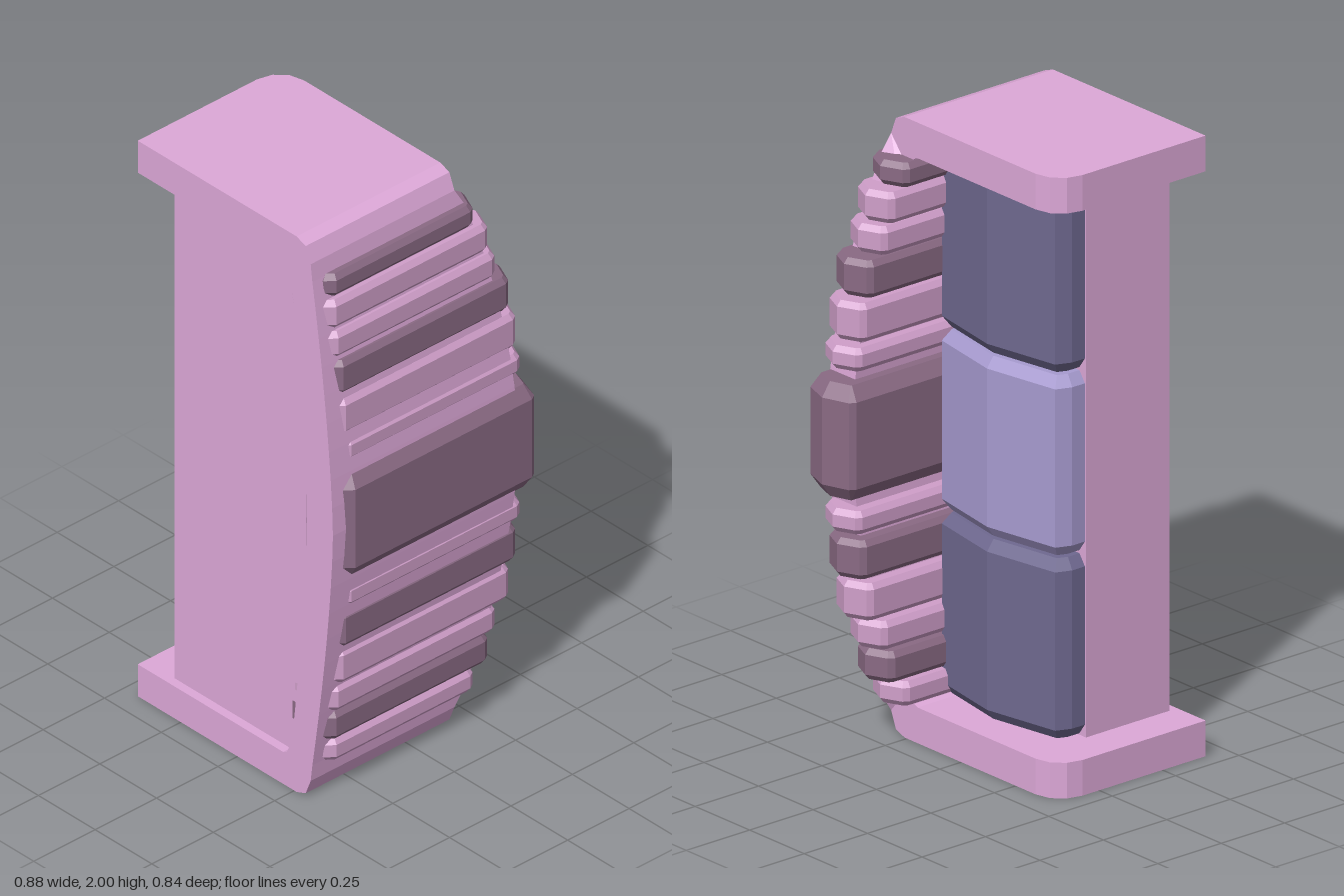
import * as THREE from 'three';

const PINK = 0xdda8d8, LIGHT = 0xd09fca, DARK = 0x8a6a84, LILAC = 0xa79bd0, SLATE = 0x6f6990;

function mesh(geo, color, name) {
  const m = new THREE.Mesh(geo, new THREE.MeshStandardMaterial({ color }));
  m.name = name;
  return m;
}

// Extrude a plan outline of [x, z] points from y0 to y1, with a chamfer on both ends
function slab(plan, y0, y1, inset = 0, rise = inset) {
  const shape = new THREE.Shape(plan.map(([x, z]) => new THREE.Vector2(x, -z)));
  const geo = new THREE.ExtrudeGeometry(shape, {
    depth: y1 - y0 - 2 * rise, bevelEnabled: inset > 0, bevelSegments: 1,
    bevelThickness: rise, bevelSize: inset, bevelOffset: -inset,
  });
  geo.rotateX(-Math.PI / 2);
  geo.translate(0, y0 + rise, 0);
  return geo;
}

// Bowed side wall: four-cornered sections following the curve from top to bottom
function wallGeometry() {
  // outer x, outer y, inner x, inner y, back z
  const half = [
    [0.26, 2, 0.19, 1.89, -0.165],
    [0.3, 1.985, 0.217, 1.878, -0.165],
    [0.322, 1.93, 0.237, 1.83, -0.165],
  ];
  for (let i = 0; i <= 9; i++) {
    const y = 1.87 - i * 0.87 / 9;
    const yi = 1.79 - i * 0.79 / 9;
    const u = (y - 1) / 0.93;
    half.push([0.42 - 0.1 * u ** 1.5, y, 0.305 - 0.066 * ((yi - 1) / 0.83) ** 1.5, yi, -0.335 + 0.155 * u * u]);
  }
  const lower = half.slice(0, -1).reverse().map(([a, b, c, d, z]) => [a, 2 - b, c, 2 - d, z]);
  const rings = [...half, ...lower];
  const pos = [], index = [];
  rings.forEach(([ox, oy, ix, iy, zb], r) => {
    pos.push(ox, oy, 0.42, ox, oy, zb, ix, iy, zb, ix, iy, 0.42);
    if (!r) return;
    for (let j = 0; j < 4; j++) {
      const k = (j + 1) % 4, A = (r - 1) * 4, B = r * 4;
      index.push(A + j, B + j, B + k, A + j, B + k, A + k);
    }
  });
  const geo = new THREE.BufferGeometry();
  geo.setAttribute('position', new THREE.Float32BufferAttribute(pos, 3));
  geo.setIndex(index);
  const flat = geo.toNonIndexed();
  flat.computeVertexNormals();
  return flat;
}

// Ridge with a pointed back end and a chamfered outer front edge
function ridge(y0, y1, xo, width, zf, zb, inset, rise) {
  const xi = xo - width, mid = xo - width / 2;
  return slab([
    [xi, zf], [xo - 0.025, zf], [xo, zf - 0.03], [xo, zb + 0.05], [xo - 0.012, zb + 0.03],
    [mid, zb], [xi + 0.012, zb + 0.03], [xi, zb + 0.05],
  ], y0, y1, inset, rise);
}

export function createModel() {
  const model = new THREE.Group();

  // Frame: bowed wall and two end plates with a rounded back corner
  const frame = new THREE.Group();
  frame.name = 'frame';
  frame.add(mesh(wallGeometry(), PINK, 'bowedWall'));
  const plate = [
    [-0.44, 0.42], [0.26, 0.42], [0.26, -0.165], [-0.34, -0.165],
    [-0.392, -0.152], [-0.427, -0.116], [-0.44, -0.065],
  ];
  frame.add(mesh(slab(plate, 1.885, 2), PINK, 'topPlate'));
  frame.add(mesh(slab(plate, 0, 0.115), PINK, 'bottomPlate'));
  model.add(frame);

  // Front panel between the plates
  const panel = mesh(new THREE.BoxGeometry(0.58, 1.8, 0.33), PINK, 'frontPanel');
  panel.position.set(-0.02, 1, 0.225);
  model.add(panel);

  // Three blocks on the back of the panel
  const blockPlan = [
    [-0.305, 0.12], [0.25, 0.12], [0.25, 0.0], [0.235, -0.04],
    [-0.025, -0.085], [-0.285, -0.04], [-0.305, 0.01],
  ];
  [0.41, 1, 1.59].forEach((y, i) => {
    model.add(mesh(slab(blockPlan, y - 0.29, y + 0.29, 0.025, 0.035), i === 1 ? LILAC : SLATE, 'backBlock'));
  });

  // Grip ridges above and below the centre: low y, high y, outer x, front z, back z, colours
  const ridges = [
    [1.796, 1.875, 0.36, 0.38, -0.245, DARK, LIGHT],
    [1.69, 1.79, 0.37, 0.39, -0.295, LIGHT, DARK],
    [1.59, 1.682, 0.38, 0.39, -0.315, LIGHT, LIGHT],
    [1.46, 1.58, 0.392, 0.38, -0.36, DARK, LIGHT],
    [1.32, 1.445, 0.401, 0.38, -0.38, LIGHT, DARK],
    [1.225, 1.3, 0.409, 0.365, -0.39, LIGHT, LIGHT],
  ];
  const grip = new THREE.Group();
  grip.name = 'grip';
  for (const [y0, y1, xo, zf, zb, upper, lower] of ridges) {
    grip.add(mesh(ridge(y0, y1, xo, 0.16, zf, zb, 0.014, 0.018), upper, 'upperRidge'));
    grip.add(mesh(ridge(2 - y1, 2 - y0, xo, 0.16, zf, zb, 0.014, 0.018), lower, 'lowerRidge'));
  }
  grip.add(mesh(ridge(0.815, 1.185, 0.438, 0.2, 0.375, -0.424, 0.03, 0.045), DARK, 'centreRidge'));
  model.add(grip);

  return model;
}
